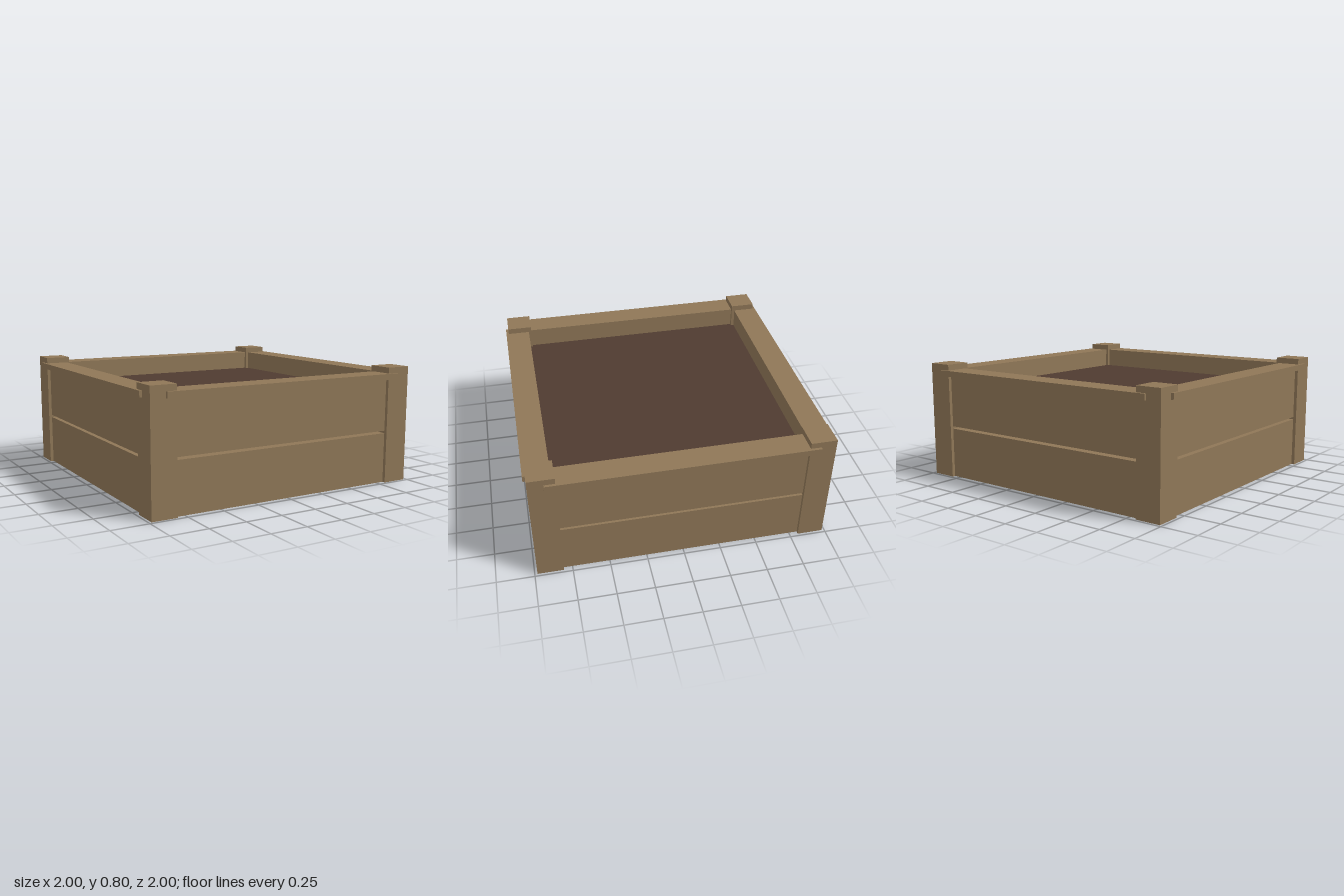
import * as THREE from 'three';

const wood = new THREE.MeshStandardMaterial({ name: 'wood', color: 0x8f7757 });
const soil = new THREE.MeshStandardMaterial({ name: 'soil', color: 0x4f3b30 });

// Box given by its size, centre and the height of its underside
function box(name, material, [w, h, d], x, bottom, z) {
  const mesh = new THREE.Mesh(new THREE.BoxGeometry(w, h, d), material);
  mesh.name = name;
  mesh.position.set(x, bottom + h / 2, z);
  return mesh;
}

// One side of the planter: two planks with a gap, and a ledge on top
function createSide(name) {
  const side = new THREE.Group();
  side.name = name;
  side.add(
    box('lowerPlank', wood, [1.68, 0.345, 0.13], 0, 0, 0.895),
    box('upperPlank', wood, [1.68, 0.358, 0.13], 0, 0.362, 0.895),
    box('ledge', wood, [1.76, 0.04, 0.172], 0, 0.72, 0.914),
  );
  return side;
}

export function createModel() {
  const planter = new THREE.Group();
  planter.name = 'raisedPlanter';

  // Four sides turned around the centre
  ['frontSide', 'leftSide', 'backSide', 'rightSide'].forEach((name, i) => {
    const side = createSide(name);
    side.rotation.y = (i * Math.PI) / 2;
    planter.add(side);
  });

  // Corner posts
  for (const x of [-1, 1]) {
    for (const z of [-1, 1]) {
      const name = (z > 0 ? 'front' : 'back') + (x > 0 ? 'Left' : 'Right') + 'Post';
      planter.add(box(name, wood, [0.174, 0.8, 0.174], x * 0.895, 0, z * 0.895));
    }
  }

  // Soil filling, seen through the gaps between the planks
  planter.add(box('soilBed', soil, [1.66, 0.623, 1.66], 0, 0.001, 0));
  return planter;
}
